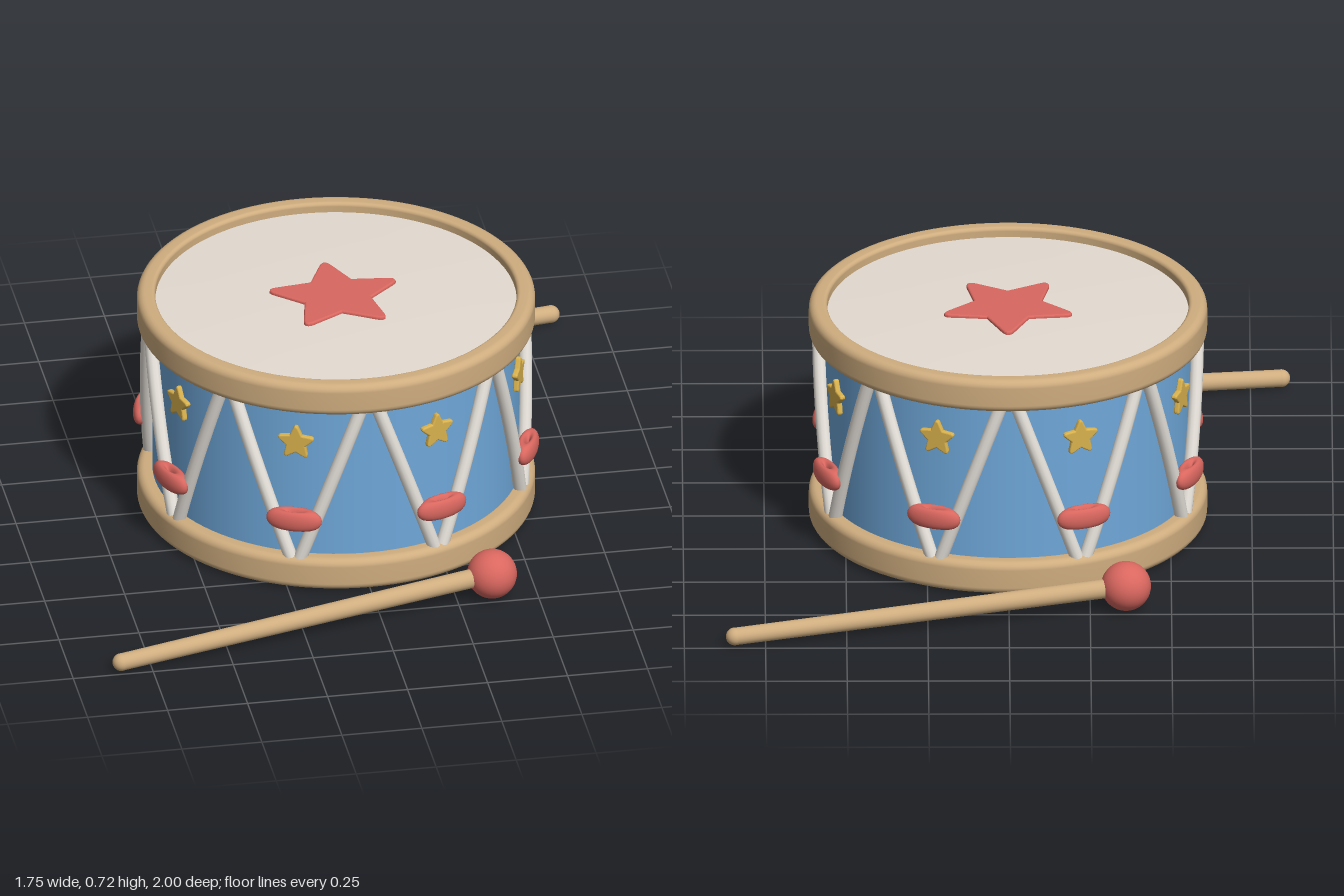
import * as THREE from 'three';

const mat = (name, color, side = THREE.FrontSide) => {
  const m = new THREE.MeshStandardMaterial({ color, side });
  m.name = name;
  return m;
};

// Five-pointed star outline with softened tips
function starShape(outer, inner, soft = 0.22) {
  const s = new THREE.Shape();
  const at = (i) => {
    const a = Math.PI / 2 + (i * Math.PI) / 5;
    const r = i % 2 ? inner : outer;
    return new THREE.Vector2(r * Math.cos(a), r * Math.sin(a));
  };
  for (let i = 0; i < 10; i += 2) {
    const tip = at(i);
    const before = tip.clone().lerp(at(i + 9), soft);
    const after = tip.clone().lerp(at(i + 1), soft);
    if (i === 0) s.moveTo(before.x, before.y);
    else s.lineTo(before.x, before.y);
    s.quadraticCurveTo(tip.x, tip.y, after.x, after.y);
    const notch = at(i + 1);
    s.lineTo(notch.x, notch.y);
  }
  s.closePath();
  return s;
}

function starGeometry(outer, inner, depth, bevel) {
  return new THREE.ExtrudeGeometry(starShape(outer, inner), {
    depth, bevelEnabled: true, bevelThickness: bevel, bevelSize: bevel, bevelSegments: 3, curveSegments: 5,
  });
}

// Ring with a rounded-rectangle cross-section
function hoopGeometry(rIn, rOut, y0, y1) {
  const pts = [];
  const corner = (x, y, r, start) => {
    for (let i = 0; i <= 5; i++) {
      const a = start + (i / 5) * Math.PI / 2;
      pts.push(new THREE.Vector2(x + r * Math.cos(a), y + r * Math.sin(a)));
    }
  };
  const c = 0.024, d = 0.012;
  corner(rIn + d, y0 + d, d, Math.PI);
  corner(rOut - c, y0 + c, c, -Math.PI / 2);
  corner(rOut - c, y1 - c, c, 0);
  corner(rIn + d, y1 - d, d, Math.PI / 2);
  pts.push(pts[0].clone());
  return new THREE.LatheGeometry(pts, 96);
}

// Cord following the drum wall between two angles
function cordGeometry(a0, y0, a1, y1, r) {
  const pts = [];
  for (let i = 0; i <= 6; i++) {
    const t = i / 6, a = a0 + (a1 - a0) * t;
    pts.push(new THREE.Vector3(r * Math.sin(a), y0 + (y1 - y0) * t, r * Math.cos(a)));
  }
  return new THREE.TubeGeometry(new THREE.CatmullRomCurve3(pts), 20, 0.021, 12);
}

export function createModel() {
  const wood = mat('wood', 0xcfad7f);
  const blue = mat('blue shell', 0x6fa8da, THREE.DoubleSide);
  const skin = mat('drum skin', 0xe4dbd1, THREE.DoubleSide);
  const cordMat = mat('cord', 0xe9e4dd);
  const red = mat('red', 0xd9675f);
  const gold = mat('gold', 0xd9b24e);

  const model = new THREE.Group();
  model.name = 'toyDrum';
  const add = (parent, name, geo, material) => {
    const m = new THREE.Mesh(geo, material);
    m.name = name;
    parent.add(m);
    return m;
  };

  const drum = new THREE.Group();
  drum.name = 'drum';
  model.add(drum);

  // Open-bottomed shell and the two hoops
  add(drum, 'shell', new THREE.CylinderGeometry(0.565, 0.565, 0.62, 96, 1, true), blue).position.y = 0.362;
  add(drum, 'bottomHoop', hoopGeometry(0.556, 0.613, 0.004, 0.11), wood);
  add(drum, 'topHoop', hoopGeometry(0.556, 0.613, 0.616, 0.722), wood);

  // Slightly domed skin with a star in the middle
  const dome = [0.562, 0.42, 0.28, 0.14, 0].map((r) => new THREE.Vector2(r, 0.702 - 0.012 * (r / 0.562) ** 2));
  add(drum, 'drumSkin', new THREE.LatheGeometry(dome, 96), skin);
  const topStar = add(drum, 'skinStar', starGeometry(0.215, 0.103, 0.008, 0.006), red);
  topStar.rotation.x = -Math.PI / 2;
  topStar.position.y = 0.697;

  // Eight repeats of cords, toggle and star around the wall
  const step = Math.PI / 4, deg = Math.PI / 180;
  const wallStar = starGeometry(0.057, 0.027, 0.008, 0.005);
  const toggleGeo = new THREE.TorusGeometry(0.042, 0.0325, 20, 40).rotateX(Math.PI / 2).scale(1.175, 1, 0.42);
  for (let i = 0; i < 8; i++) {
    const bay = new THREE.Group();
    bay.name = 'bay' + (i + 1);
    bay.rotation.y = (i + 0.5) * step;
    drum.add(bay);
    for (const s of [-1, 1]) {
      add(bay, s < 0 ? 'rightCord' : 'leftCord',
        cordGeometry(s * 1.1 * deg, 0.09, s * (step / 2 - 2 * deg), 0.64, 0.583), cordMat);
    }
    add(bay, 'toggle', toggleGeo, red).position.set(0, 0.245, 0.603);
    add(bay, 'wallStar', wallStar, gold).position.set(0, 0.5, 0.57);
  }

  // Two beaters, the second turned half way round
  const tip = new THREE.Vector3(0.36, 0.08, 0.712);
  const end = new THREE.Vector3(-0.845, 0.028, 0.972);
  const along = tip.clone().sub(end);
  for (let i = 0; i < 2; i++) {
    const beater = new THREE.Group();
    beater.name = i ? 'backBeater' : 'frontBeater';
    beater.rotation.y = i * Math.PI;
    model.add(beater);
    const stick = add(beater, 'stick', new THREE.CylinderGeometry(0.03, 0.027, along.length(), 24), wood);
    stick.position.copy(end).addScaledVector(along, 0.5);
    stick.quaternion.setFromUnitVectors(new THREE.Vector3(0, 1, 0), along.clone().normalize());
    add(beater, 'stickEnd', new THREE.SphereGeometry(0.0275, 24, 16), wood).position.copy(end);
    add(beater, 'beaterBall', new THREE.SphereGeometry(0.077, 32, 24), red).position.copy(tip);
  }
  return model;
}
